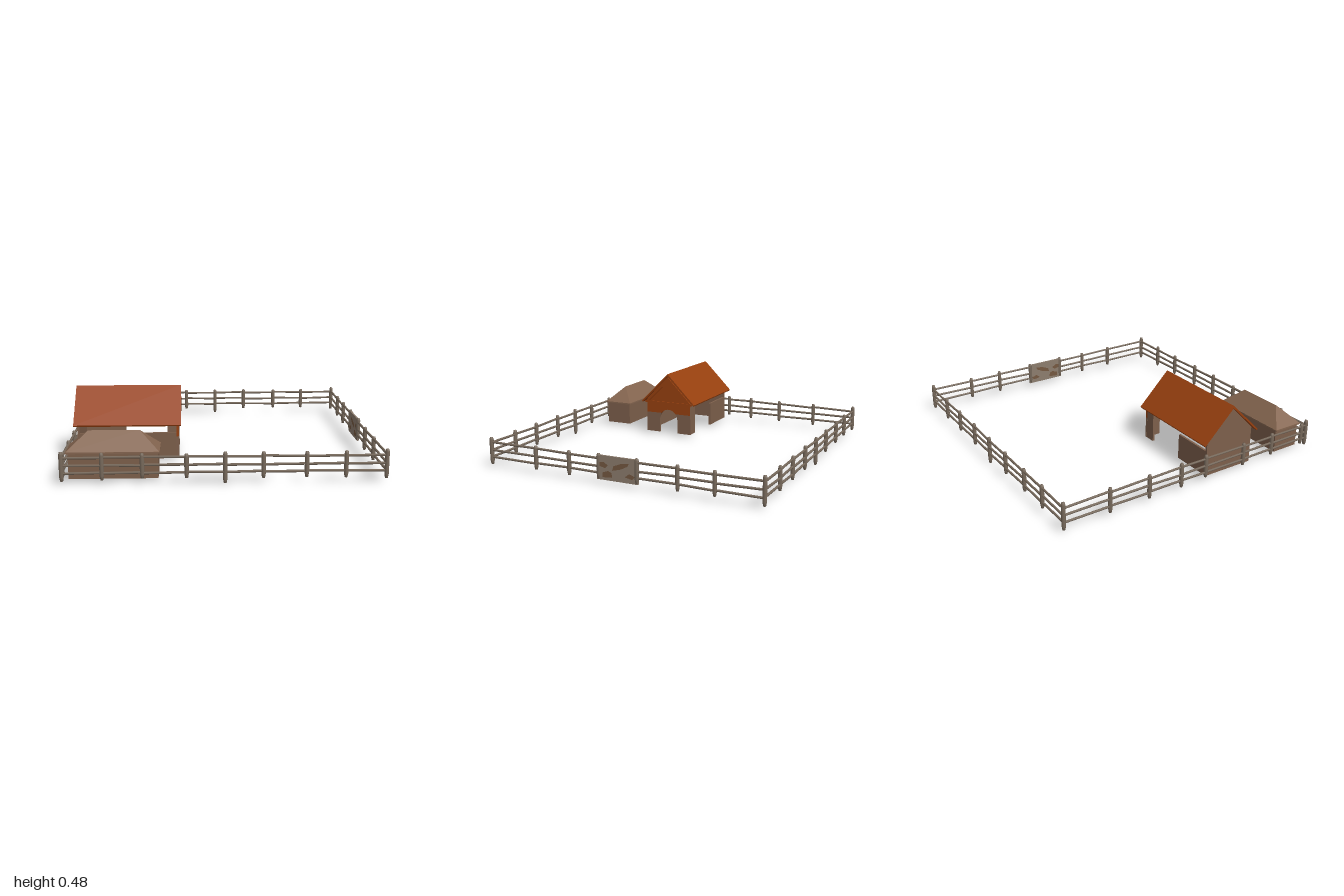
import * as THREE from 'three';

const mat = (name, color) => {
  const m = new THREE.MeshStandardMaterial({ color, side: THREE.DoubleSide });
  m.name = name;
  return m;
};

export function createModel() {
  const model = new THREE.Group();
  model.name = 'farmyard';
  const M = {
    roof: mat('rust orange', 0x97400f),
    wall: mat('wall brown', 0x7d5f4b),
    shed: mat('shed roof brown', 0x84654f),
    wood: mat('fence wood', 0x786a5c),
    gate: mat('gate grey', 0x8c7c6d),
    spot: mat('gate patch brown', 0x745840),
  };
  let seed = 7;
  const rnd = (a) => {
    seed = (seed * 16807) % 2147483647;
    return (seed / 2147483647 - 0.5) * 2 * a;
  };
  const add = (parent, name, geo, material, x = 0, y = 0, z = 0) => {
    const mesh = new THREE.Mesh(geo, material);
    mesh.name = name;
    mesh.position.set(x, y, z);
    parent.add(mesh);
    return mesh;
  };
  // box given by its minimum and maximum corners
  const box = (parent, name, material, x0, x1, y0, y1, z0, z1) =>
    add(parent, name, new THREE.BoxGeometry(x1 - x0, y1 - y0, z1 - z0), material,
      (x0 + x1) / 2, (y0 + y1) / 2, (z0 + z1) / 2);
  const group = (name) => {
    const g = new THREE.Group();
    g.name = name;
    model.add(g);
    return g;
  };

  // ---- fence: posts and three slightly uneven rails per bay ----
  const fence = group('fence');
  const rail = (a, b) => {
    const d = b.clone().sub(a);
    const m = add(fence, 'rail', new THREE.CylinderGeometry(0.008, 0.008, d.length(), 6), M.wood);
    m.position.copy(a).addScaledVector(d, 0.5);
    m.quaternion.setFromUnitVectors(new THREE.Vector3(0, 1, 0), d.normalize());
  };
  const post = (x, z, y0, y1) => {
    const h = y1 - y0;
    const profile = [[0, 0], [0.009, 0.003], [0.014, 0.03], [0.014, h - 0.02], [0.01, h - 0.003], [0, h]];
    add(fence, 'post', new THREE.LatheGeometry(profile.map((p) => new THREE.Vector2(...p)), 8),
      M.wood, x, y0, z);
  };
  const side = (stops, at, gap) => {
    stops.forEach((s, i) => {
      const p = at(s);
      const corner = i === 0 || i === stops.length - 1;
      if (!corner) post(p[0], p[1], s === 0 ? 0 : 0.032 + rnd(0.006), 0.195 + rnd(0.006));
      if (i === 0 || i === gap) return;
      const q = at(stops[i - 1]);
      for (const y of [0.17, 0.119, 0.073]) {
        rail(new THREE.Vector3(q[0], y + rnd(0.004), q[1]), new THREE.Vector3(p[0], y + rnd(0.004), p[1]));
      }
    });
  };
  const X = 0.983, Z = 0.962;
  side([-X, -0.742, -0.5, -0.233, 0, 0.232, 0.495, 0.735, X], (s) => [s, Z]);
  side([-X, -0.73, -0.5, -0.24, 0, 0.24, 0.49, 0.725, X], (s) => [s, -Z]);
  side([-Z, -0.645, -0.36, -0.115, 0.08, 0.395, 0.645, 0.92, Z], (s) => [-X, s]);
  side([-Z, -0.655, -0.415, -0.14, 0.13, 0.35, 0.605, Z], (s) => [X, s], 4);
  for (const x of [-X, X]) for (const z of [-Z, Z]) post(x, z, 0.02, 0.208);

  // ---- patched gate panel in the side fence ----
  const gate = group('gate');
  box(gate, 'gatePanel', M.gate, X - 0.006, X + 0.006, 0.033, 0.19, -0.15, 0.14);
  const patches = [
    [[0.1, 0.05], [0.03, 0.055], [0.035, 0.085], [0.06, 0.095], [0.1, 0.08]],
    [[0.03, 0.1], [-0.03, 0.115], [-0.08, 0.14], [-0.09, 0.16], [-0.03, 0.15], [0.02, 0.13]],
    [[0.12, 0.12], [0.08, 0.11], [0.06, 0.13], [0.09, 0.15], [0.12, 0.145]],
    [[-0.06, 0.07], [-0.11, 0.06], [-0.13, 0.08], [-0.09, 0.095]],
  ];
  for (const pts of patches) {
    const geo = new THREE.ShapeGeometry(new THREE.Shape(pts.map(([z, y]) => new THREE.Vector2(-z, y))));
    for (const s of [-1, 1]) add(gate, 'gatePatch', geo, M.spot, X + s * 0.0075).rotation.y = Math.PI / 2;
  }

  // ---- barn, ridge along x ----
  const barn = group('barn');
  const ZC = 0.295, HW = 0.185, L = -0.95, R = -0.285;
  // extrudes a (z, y) profile along x from x0
  const alongX = (name, shape, material, x0, depth) => {
    const geo = new THREE.ExtrudeGeometry(shape, { depth, bevelEnabled: false, curveSegments: 10 });
    add(barn, name, geo, material, x0, 0, ZC).rotation.y = Math.PI / 2;
  };
  const poly = (pts) => new THREE.Shape(pts.map((p) => new THREE.Vector2(...p)));
  alongX('barnRoof', poly([[-0.223, 0.257], [0, 0.48], [0.223, 0.257], [0.218, 0.247], [0, 0.462], [-0.218, 0.247]]),
    M.roof, -0.97, 0.7);
  alongX('backGable', poly([[-HW, 0.02], [HW, 0.02], [HW, 0.275], [0, 0.465], [-HW, 0.275]]), M.wall, L, 0.015);

  // arched end wall: orange above, brown jambs below
  const r = 0.075, ay = 0.125, split = 0.17;
  const a = Math.asin((split - ay) / r), w = r * Math.cos(a);
  const upper = poly([[w, split], [HW, split], [HW, 0.275], [0, 0.465], [-HW, 0.275], [-HW, split], [-w, split]]);
  upper.absarc(0, ay, r, Math.PI - a, a, true);
  alongX('archGable', upper, M.roof, R - 0.015, 0.015);
  for (const s of [-1, 1]) {
    const jamb = new THREE.Shape();
    jamb.moveTo(s * (HW + 0.003), 0.02);
    jamb.lineTo(s * HW, split);
    jamb.lineTo(s * w, split);
    if (s > 0) jamb.absarc(0, ay, r, a, 0, true);
    else jamb.absarc(0, ay, r, Math.PI - a, Math.PI, false);
    jamb.lineTo(s * r, 0.02);
    alongX('doorJamb', jamb, M.wall, R - 0.015, 0.015);
  }
  // raised trim following the gable
  alongX('gableTrim', poly([[-0.2, 0.25], [0, 0.45], [0.2, 0.25], [0.175, 0.25], [0, 0.425], [-0.175, 0.25]]),
    M.roof, R, 0.008);
  alongX('gableBeam', poly([[-0.2, 0.247], [0.2, 0.247], [0.2, 0.26], [-0.2, 0.26]]), M.roof, R, 0.008);

  // long walls, open under the eaves; the back has a wide opening
  const zf = ZC + HW, zb = ZC - HW;
  box(barn, 'frontWall', M.wall, L, R - 0.015, 0.02, 0.195, zf - 0.015, zf);
  box(barn, 'backWall', M.wall, L, -0.66, 0.02, 0.195, zb, zb + 0.015);
  box(barn, 'backPier', M.wall, -0.37, R - 0.015, 0.02, 0.255, zb, zb + 0.015);
  for (const z of [zf - 0.015, zb]) {
    for (const x of [L, R - 0.015]) box(barn, 'cornerPost', M.wall, x, x + 0.014, 0.02, 0.265, z, z + 0.014);
  }

  // ---- low shed with a hipped roof ----
  const shed = group('shed');
  box(shed, 'shedFrontWall', M.wall, -0.95, -0.405, 0.02, 0.19, 0.898, 0.908);
  box(shed, 'shedBackWall', M.wall, -0.95, -0.405, 0.02, 0.19, 0.71, 0.72);
  for (const x of [-0.95, -0.77, -0.59, -0.415]) {
    box(shed, 'shedDivider', M.wall, x, x + 0.01, 0.02, 0.19, 0.712, 0.906);
  }
  const A = [-0.965, 0.188, 0.92], B = [-0.395, 0.188, 0.92], C = [-0.395, 0.188, 0.7], D = [-0.965, 0.188, 0.7];
  const E = [-0.835, 0.3, 0.81], F = [-0.52, 0.3, 0.81];
  const tris = [A, B, F, A, F, E, B, C, F, C, D, E, C, E, F, D, A, E];
  const hip = new THREE.BufferGeometry();
  hip.setAttribute('position', new THREE.Float32BufferAttribute(tris.flat(), 3));
  hip.computeVertexNormals();
  add(shed, 'shedRoof', hip, M.shed);
  for (const [z0, z1] of [[0.7, 0.708], [0.912, 0.92]]) {
    box(shed, 'shedEave', M.shed, -0.965, -0.395, 0.18, 0.19, z0, z1);
  }
  for (const x of [-0.965, -0.403]) box(shed, 'shedEave', M.shed, x, x + 0.008, 0.18, 0.19, 0.7, 0.92);

  return model;
}
